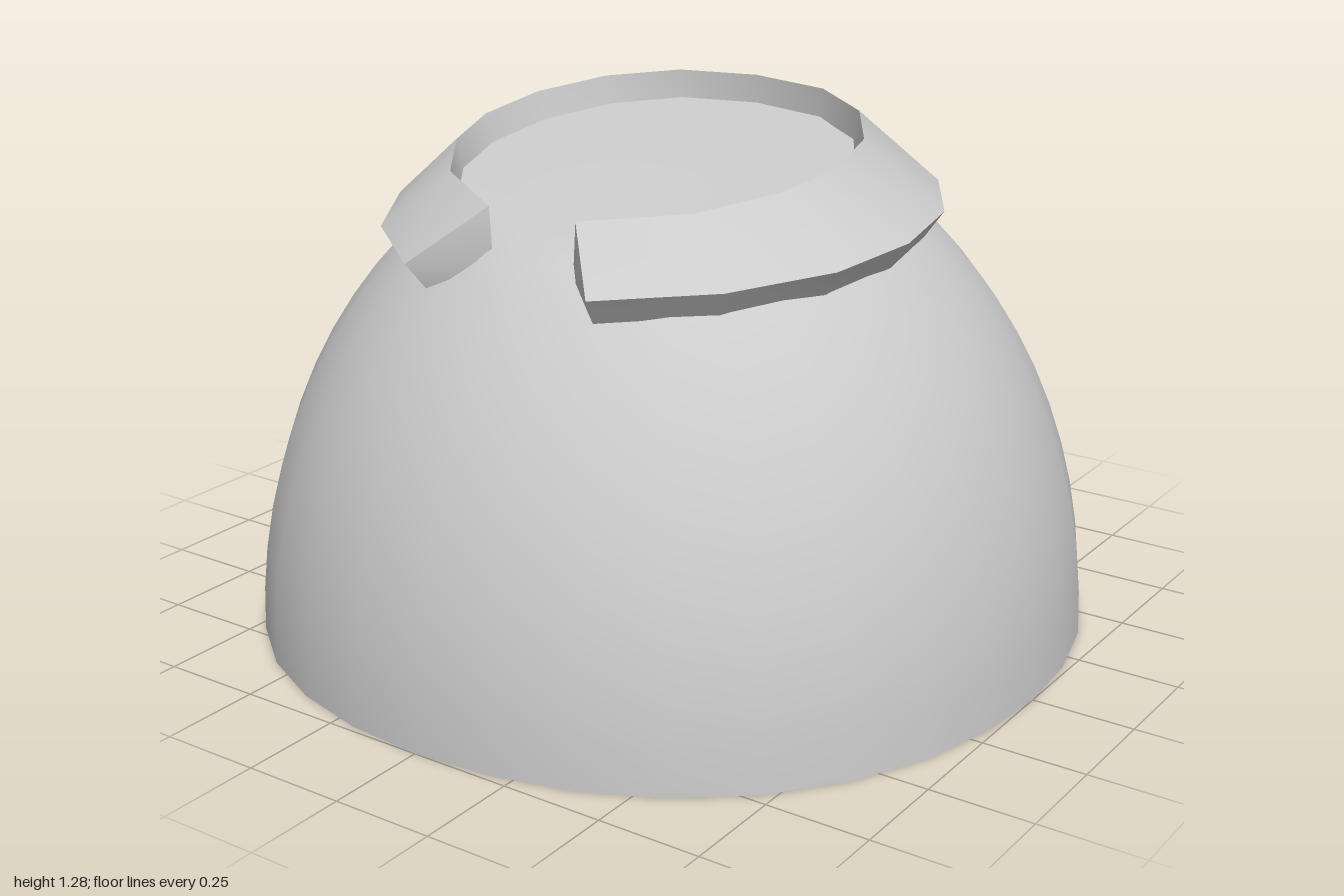
import * as THREE from 'three';
import { mergeVertices, toCreasedNormals } from 'three/addons/utils/BufferGeometryUtils.js';

const floorY = z => 1.148 - 0.174 * z; // sloping floor inside the collar
const rimY = z => floorY(z) + 0.07;

// Mirrors half a ring (front +x to back centre) onto the -x side
const fullRing = half => [
  ...half,
  ...half.slice(0, -1).reverse().map(([x, z]) => [-x, z]),
];

const OUTER = fullRing([[0.25, 0.69], [0.48, 0.51], [0.62, 0.28], [0.66, 0.04],
  [0.62, -0.2], [0.49, -0.41], [0.28, -0.54], [0, -0.58]]);
const INNER = fullRing([[0.12, 0.55], [0.34, 0.42], [0.46, 0.25], [0.5, 0.09],
  [0.47, -0.08], [0.37, -0.23], [0.21, -0.33], [0, -0.36]]);

function indexed(positions, index, crease) {
  const g = new THREE.BufferGeometry();
  g.setAttribute('position', new THREE.Float32BufferAttribute(positions, 3));
  g.setIndex(index);
  return toCreasedNormals(g, crease);
}

// Hollow dome, slightly squared in plan, its crown cut off by the sloping floor
function shellGeometry() {
  const arc = (r, h) => Array.from({ length: 19 }, (_, i) => {
    const a = (i / 18) * Math.PI / 2;
    return new THREE.Vector2(Math.max(r * Math.cos(a), 0), h * Math.sin(a));
  });
  const inner = arc(0.905, 1.14).reverse();
  let g = new THREE.LatheGeometry([...inner, ...arc(1, 1.24)], 32);
  const p = g.attributes.position;
  for (let i = 0; i < p.count; i++) {
    const x = p.getX(i), y = p.getY(i), z = p.getZ(i);
    const bulge = 1 + 0.021 * Math.sin(2 * Math.atan2(x, z)) ** 2;
    const drop = i % 38 < 19 ? 0.1 : 0.004;
    p.setXYZ(i, x * bulge, Math.min(y, floorY(z) - drop), z * bulge);
  }
  g.deleteAttribute('uv');
  g.deleteAttribute('normal');
  g = mergeVertices(g, 1e-4);
  return toCreasedNormals(g, 0.7);
}

// Open collar: a four-cornered section swept around the crown
function collarGeometry() {
  const pos = [], idx = [], n = OUTER.length;
  for (let i = 0; i < n; i++) {
    const [ox, oz] = OUTER[i], [ix, iz] = INNER[i];
    const edge = 1.045 - 0.065 * oz;
    // the underside closes against the dome towards the back
    const inset = THREE.MathUtils.clamp(0.94 - (oz + 0.4) * 0.3, 0.93, 1);
    pos.push(ox, edge, oz);
    pos.push(ix, rimY(iz), iz);
    pos.push(ix * 0.93, floorY(iz) - 0.06, iz);
    pos.push(ox * inset, edge - 0.065, oz * inset);
  }
  for (let i = 0; i < n - 1; i++) {
    for (let k = 0; k < 4; k++) {
      const a = i * 4 + k, b = i * 4 + (k + 1) % 4;
      idx.push(a, a + 4, b, b, a + 4, b + 4);
    }
  }
  const e = (n - 1) * 4;
  idx.push(0, 1, 2, 0, 2, 3, e, e + 2, e + 1, e, e + 3, e + 2);
  return indexed(pos, idx, 0.6);
}

// Sloping floor filling the collar, rolling down onto the dome at the gap
function floorGeometry() {
  const ring = [...INNER, [0, 0.62]];
  const pos = [0, floorY(0.45), 0.45], idx = [];
  ring.forEach(([x, z], i) => {
    const y = z > 0.5 ? 1.24 * Math.sqrt(1 - x * x - z * z) : floorY(z);
    pos.push(x, y, z);
    idx.push(0, i + 1, (i + 1) % ring.length + 1);
  });
  return indexed(pos, idx, 0.8);
}

export function createModel() {
  const group = new THREE.Group();
  group.name = 'collaredDome';
  const material = new THREE.MeshStandardMaterial({ color: 0xcccccc });
  const add = (name, geometry) => {
    const mesh = new THREE.Mesh(geometry, material);
    mesh.name = name;
    group.add(mesh);
  };
  add('domeShell', shellGeometry());
  add('collar', collarGeometry());
  add('crownFloor', floorGeometry());
  return group;
}
